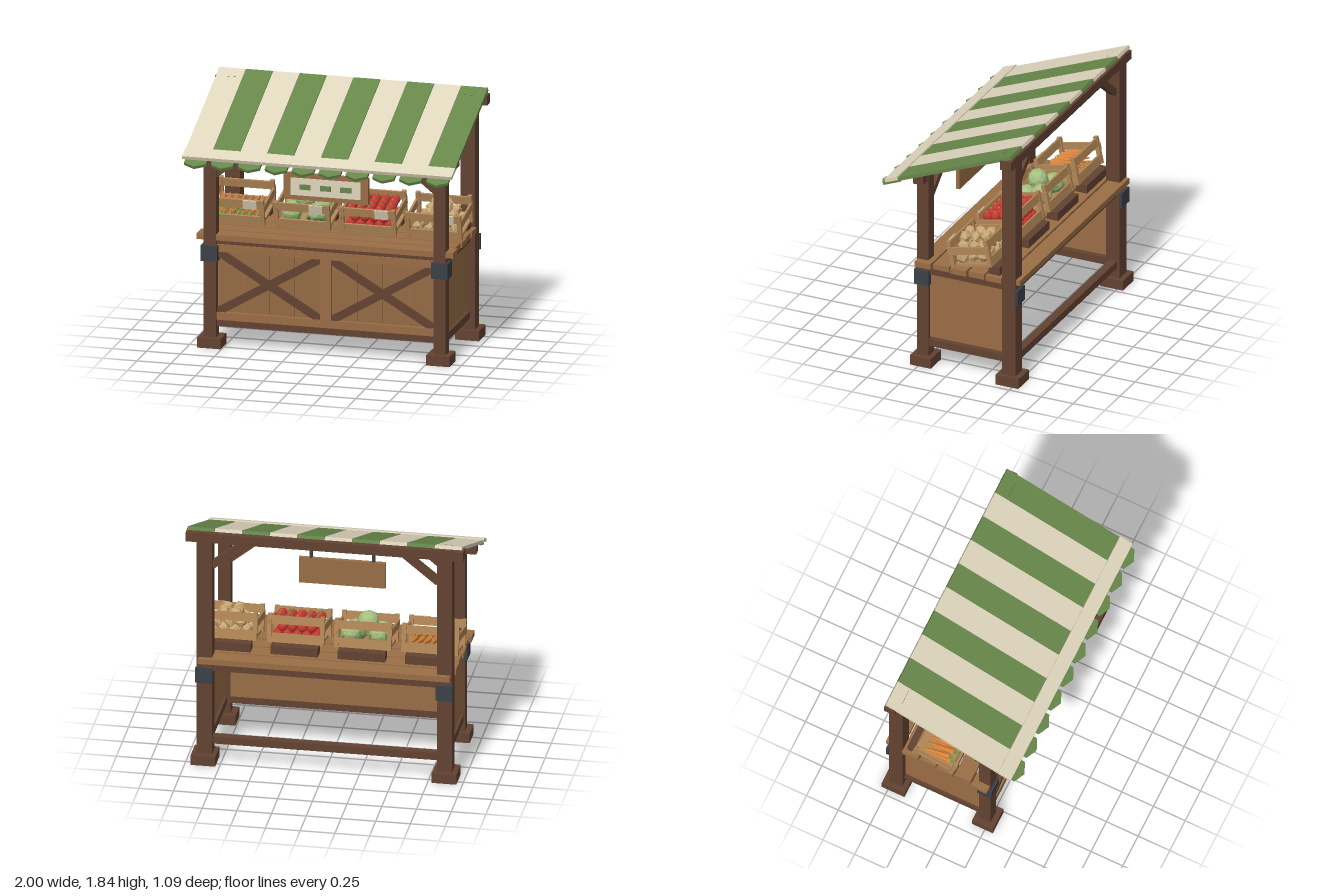
import * as THREE from 'three';

const mat = (color) => new THREE.MeshStandardMaterial({ color, flatShading: true });
const M = {
  dark: mat(0x634332), wood: mat(0x9a6e46), plank: mat(0x936a43), crate: mat(0xb08656),
  cream: mat(0xdfd5bd), green: mat(0x67874a), iron: mat(0x3a4147), tag: mat(0xd3c9ae),
  tomato: mat(0xc23a30), potato: mat(0xc7a673), lettuce: mat(0xa5bf80), leaf: mat(0x6f9a56), carrot: mat(0xd5803a),
};

function add(parent, name, geo, material, x = 0, y = 0, z = 0) {
  const m = new THREE.Mesh(geo, material);
  m.name = name;
  m.position.set(x, y, z);
  parent.add(m);
  return m;
}
// Box given by its extents along each axis
const span = (p, name, m, x0, x1, y0, y1, z0, z1) =>
  add(p, name, new THREE.BoxGeometry(x1 - x0, y1 - y0, z1 - z0), m, (x0 + x1) / 2, (y0 + y1) / 2, (z0 + z1) / 2);
// Same box mirrored to both sides
function pair(p, name, m, x0, x1, ...rest) {
  span(p, name, m, x0, x1, ...rest);
  span(p, name, m, -x1, -x0, ...rest);
}
const extrude = (pts, depth) => new THREE.ExtrudeGeometry(
  new THREE.Shape(pts.map(([x, y]) => new THREE.Vector2(x, y))), { depth, bevelEnabled: false });

function seeded(seed) {
  return () => (seed = (seed * 16807) % 2147483647) / 2147483647;
}

function buildFrame(g) {
  // Posts and feet
  pair(g, 'frontPost', M.dark, 0.8, 0.89, 0, 1.53, 0.187, 0.275);
  pair(g, 'backPost', M.dark, 0.81, 0.92, 0, 1.805, -0.51, -0.405);
  pair(g, 'frontFoot', M.dark, 0.757, 0.93, 0, 0.075, 0.15, 0.313);
  pair(g, 'backFoot', M.dark, 0.78, 0.957, 0, 0.075, -0.55, -0.37);
  // Roof beams and diagonal braces
  span(g, 'frontBeam', M.dark, -0.97, 0.97, 1.46, 1.528, 0.193, 0.268);
  span(g, 'backBeam', M.dark, -1, 1, 1.73, 1.8, -0.512, -0.425);
  for (const s of [-1, 1]) for (const [y, z] of [[1.46, 0.23], [1.73, -0.46]]) {
    const b = add(g, 'brace', new THREE.BoxGeometry(0.32, 0.05, 0.05), M.dark, s * 0.69, y - 0.09, z);
    b.rotation.z = s * -0.68;
  }
  // Lower and upper rails
  for (const [y0, y1] of [[0.152, 0.207], [0.72, 0.787]]) {
    span(g, 'frontRail', M.dark, -0.81, 0.81, y0, y1 + 0.003, 0.2, 0.25);
    span(g, 'backRail', M.dark, -0.82, 0.82, y0, y1, -0.49, -0.43);
    pair(g, 'sideRail', M.dark, 0.825, 0.88, y0, y1, -0.41, 0.19);
  }
  // Iron brackets
  pair(g, 'frontBracket', M.iron, 0.786, 0.91, 0.637, 0.752, 0.178, 0.292);
  pair(g, 'backBracket', M.iron, 0.805, 0.928, 0.637, 0.752, -0.53, -0.508);
}

function buildCounter(g) {
  // Planked worktop
  for (let i = 0; i < 6; i++) {
    const z = 0.27 - i * 0.1375, half = [0.943, 0.925, 0.935, 0.925, 0.93, 0.907][i];
    span(g, 'counterPlank', M.wood, -half, half, 0.79, 0.832, z - 0.123, z);
  }
  // Side and front panels
  pair(g, 'sidePanel', M.wood, 0.84, 0.866, 0.222, 0.725, -0.41, 0.19);
  span(g, 'frontPanel', M.wood, -0.81, 0.81, 0.205, 0.76, 0.198, 0.218);
  span(g, 'panelBottomRail', M.wood, -0.8, 0.8, 0.2, 0.257, 0.215, 0.255);
  span(g, 'panelTopRail', M.wood, -0.8, 0.8, 0.703, 0.76, 0.215, 0.255);
  span(g, 'panelMiddleStile', M.wood, -0.04, 0.04, 0.257, 0.703, 0.215, 0.255);
  const w = 0.378, h = 0.223, a = 0.055, b = 0.033;
  const bar = [[-w, -h], [a - w, -h], [w, h - b], [w, h], [w - a, h], [-w, b - h]];
  for (const s of [-1, 1]) {
    const cx = s * 0.418;
    for (let i = 0; i < 4; i++) {
      const x = cx - w + i * 0.189;
      span(g, 'panelPlank', M.plank, x + 0.004, x + 0.185, 0.25, 0.71, 0.215, 0.228);
    }
    // Crossed bars, corners cut to fit the frame
    add(g, 'crossBar', extrude(bar, 0.022), M.dark, cx, 0.48, 0.227);
    add(g, 'crossBar', extrude(bar.map(([x, y]) => [-x, y]).reverse(), 0.022), M.dark, cx, 0.48, 0.23);
  }
}

function buildAwning(g) {
  const roof = new THREE.Group();
  roof.name = 'awning';
  roof.position.set(0, 1.83, -0.503);
  roof.rotation.x = 0.38;
  g.add(roof);
  const tab = [[-0.08, 0], [0.08, 0], [0.08, -0.142], [0, -0.18], [-0.08, -0.142]].reverse();
  for (let i = 0; i < 10; i++) {
    const x = -0.891 + i * 0.198;
    span(roof, 'stripe', i % 2 ? M.green : M.cream, x - 0.0975, x + 0.0975, -0.0125, 0.0125, 0, 0.955);
    const t = add(roof, 'scallop', extrude(tab, 0.022), M.green, x, -0.006, 0.95);
    t.rotation.x = Math.PI / -2;
    t.position.y = -0.027;
  }
  span(roof, 'awningEdge', M.cream, -0.992, 0.992, -0.004, 0.022, 0.95, 1.056);
}

function buildSign(g) {
  const sign = new THREE.Group();
  sign.name = 'hangingSign';
  g.add(sign);
  span(sign, 'signBoard', M.wood, -0.312, 0.312, 1.13, 1.325, 0.215, 0.245);
  span(sign, 'signFace', M.cream, -0.257, 0.257, 1.165, 1.292, 0.24, 0.252);
  for (const x of [-0.15, 0, 0.15]) span(sign, 'signMark', M.green, x - 0.04, x + 0.04, 1.21, 1.248, 0.25, 0.258);
  pair(sign, 'signHanger', M.iron, 0.215, 0.235, 1.32, 1.47, 0.22, 0.24);
}

// Open crate; its front bottom edge is the local origin
function buildCrate() {
  const c = new THREE.Group();
  c.name = 'crate';
  for (const [z0, z1, top] of [[-0.03, 0, 0.2], [-0.325, -0.295, 0.207]])
    pair(c, 'cratePost', M.crate, 0.175, 0.205, 0, top, z0, z1);
  span(c, 'crateFloor', M.crate, -0.19, 0.19, 0, 0.018, -0.32, -0.004);
  pair(c, 'crateSideSlat', M.crate, 0.192, 0.208, 0.1, 0.155, -0.328, 0.004);
  for (const [y0, y1] of [[0.005, 0.068], [0.135, 0.195]]) {
    span(c, 'crateFrontSlat', M.crate, -0.19, 0.19, y0, y1, -0.022, -0.005);
    span(c, 'crateBackSlat', M.crate, -0.19, 0.19, y0, y1, -0.32, -0.303);
  }
  span(c, 'priceTag', M.tag, 0.055, 0.155, 0.13, 0.197, -0.006, 0.006);
  return c;
}

function lump(c, name, material, r, x, y, z, rnd, squash = [1, 1, 1], detail = 0) {
  const m = add(c, name, new THREE.IcosahedronGeometry(r, detail), material, x, y, z);
  m.scale.set(...squash);
  m.rotation.set(rnd() * 3, rnd() * 3, rnd() * 3);
}

const produce = [
  // Carrots lying front to back with leafy tufts
  (c, rnd) => {
    for (let i = 0; i < 14; i++) {
      const layer = i < 7 ? 0 : 1, x = -0.145 + (i % 7) * 0.048;
      const carrot = new THREE.Group();
      carrot.name = 'carrot';
      carrot.position.set(x, 0.055 + layer * 0.05, -0.15 - rnd() * 0.03);
      carrot.rotation.set(Math.PI / 2, 0, (rnd() - 0.5) * 0.4);
      add(carrot, 'carrotRoot', new THREE.CylinderGeometry(0.028, 0.006, 0.19, 6), M.carrot);
      add(carrot, 'carrotLeaves', new THREE.ConeGeometry(0.02, 0.05, 5), M.leaf, 0, 0.115, 0);
      c.add(carrot);
    }
  },
  // Lettuces with loose outer leaves
  (c, rnd) => {
    for (const [x, y, z] of [[-0.1, 0.09, -0.1], [0.09, 0.09, -0.1], [-0.1, 0.1, -0.225], [0.1, 0.1, -0.225], [-0.01, 0.17, -0.16]]) {
      lump(c, 'lettuce', M.lettuce, 0.077, x, y, z, rnd, [1, 0.95, 1], 1);
      for (let k = 0; k < 3; k++) {
        const a = rnd() * 6.28;
        lump(c, 'lettuceLeaf', M.leaf, 0.06, x + Math.cos(a) * 0.025, y - 0.025, z + Math.sin(a) * 0.025, rnd, [1.1, 0.7, 1]);
      }
    }
  },
  // Tomatoes in stacked rows
  (c, rnd) => {
    for (let layer = 0; layer < 3; layer++) for (let j = 0; j < 4; j++) for (let i = 0; i < 5 - (layer % 2); i++) {
      const x = (i - (4 - (layer % 2)) / 2) * 0.07, z = -0.06 - j * 0.066, y = 0.055 + layer * 0.052;
      lump(c, 'tomato', M.tomato, 0.036, x, y, z, rnd, [1, 0.92, 1], 1);
      if (layer === 2) add(c, 'tomatoStem', new THREE.ConeGeometry(0.012, 0.014, 5), M.leaf, x, y + 0.036, z);
    }
  },
  // Heap of potatoes
  (c, rnd) => {
    for (let layer = 0; layer < 3; layer++) for (let j = 0; j < 3; j++) for (let i = 0; i < 4 - layer; i++)
      lump(c, 'potato', M.potato, 0.05, (i - (3 - layer) / 2) * 0.088 + rnd() * 0.012, 0.06 + layer * 0.055,
        -0.075 - j * 0.085, rnd, [1.15, 0.85, 0.95]);
  },
];

export function createModel() {
  const g = new THREE.Group();
  g.name = 'marketStall';
  buildFrame(g);
  buildCounter(g);
  buildAwning(g);
  buildSign(g);
  // Crates tipped forward on wooden blocks
  produce.forEach((fill, i) => {
    const x = (i - 1.5) * 0.484;
    const c = buildCrate();
    c.position.set(x, 0.836, -0.012);
    c.rotation.x = 0.21;
    fill(c, seeded(17 + i * 101));
    g.add(c);
    span(g, 'crateBlock', M.dark, x - 0.17, x + 0.17, 0.83, 0.896, -0.375, -0.288);
  });
  return g;
}
